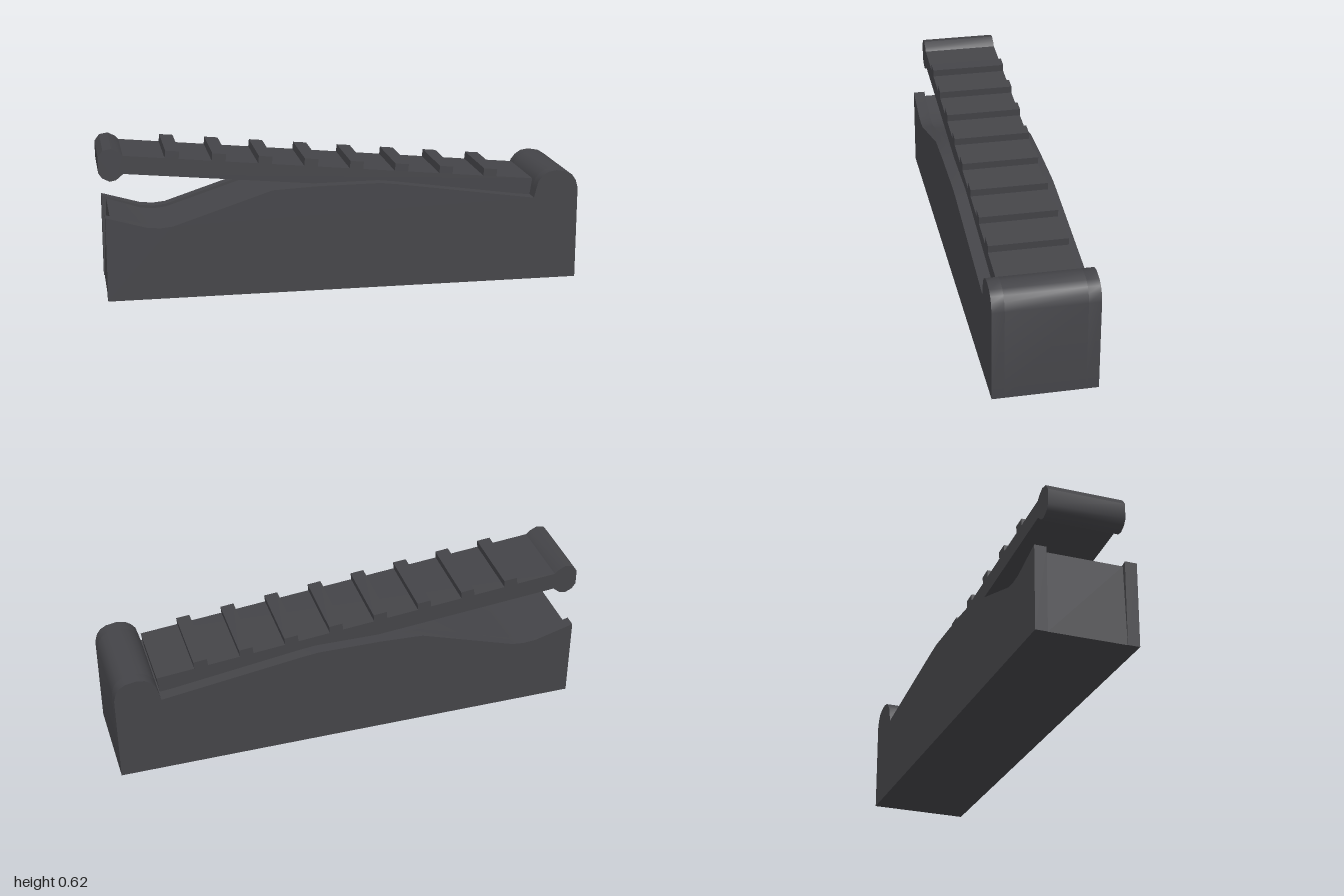
import * as THREE from 'three';
import { toCreasedNormals } from 'three/addons/utils/BufferGeometryUtils.js';

const HALF_BODY = 0.21;
const HALF_LEVER = 0.16;

// Side outline extruded between two z positions
function slab(name, points, z0, z1, material) {
  const shape = new THREE.Shape(points.map(([x, y]) => new THREE.Vector2(x, y)));
  const geo = new THREE.ExtrudeGeometry(shape, { depth: z1 - z0, bevelEnabled: false });
  geo.translate(0, 0, z0);
  const mesh = new THREE.Mesh(toCreasedNormals(geo, 0.6), material);
  mesh.name = name;
  return mesh;
}

export function createModel() {
  const group = new THREE.Group();
  group.name = 'leverOnBase';
  const charcoal = new THREE.MeshStandardMaterial({ color: 0x444448 });
  charcoal.name = 'charcoal';

  // Rounded stop at the high end, then the rest with its finger scoop
  const stop = [
    [1, 0], [1, 0.39], [0.99, 0.425], [0.975, 0.447], [0.95, 0.462], [0.905, 0.47],
    [0.87, 0.464], [0.845, 0.447], [0.828, 0.425], [0.818, 0.39], [0.81, 0.355],
  ];
  const rest = [
    [0.22, 0.44], [0.15, 0.448], [-0.12, 0.446], [-0.3, 0.437],
    [-0.71, 0.304], [-0.76, 0.299], [-0.815, 0.304], [-0.98, 0.352],
  ];
  const cheek = [...stop, ...rest, [-0.98, 0]];
  group.add(slab('frontCheek', cheek, HALF_LEVER, HALF_BODY, charcoal));
  group.add(slab('backCheek', cheek, -HALF_BODY, -HALF_LEVER, charcoal));

  // Shallow channel between the cheeks, with a slightly sloped end
  const floor = rest.map(([x, y]) => [Math.max(x, -0.96), y - 0.012]);
  group.add(slab('channelCore', [...stop, ...floor, [-0.978, 0]], -HALF_LEVER, HALF_LEVER, charcoal));

  // Tilted lever with a rounded lip
  const lever = [
    [0.805, 0.358], [0.815, 0.427], [-0.9, 0.595], [-0.915, 0.61], [-0.945, 0.625],
    [-0.98, 0.619], [-1, 0.592], [-1, 0.527], [-0.985, 0.505], [-0.955, 0.49],
    [-0.93, 0.495], [-0.9, 0.52],
  ];
  group.add(slab('lever', lever, -HALF_LEVER, HALF_LEVER, charcoal));

  // Grip ribs across the lever
  const slope = (0.427 - 0.595) / (0.815 + 0.9);
  const ribGeo = new THREE.BoxGeometry(0.057, 0.05, HALF_LEVER * 2);
  for (let i = 0; i < 8; i++) {
    const x = -0.703 + i * 0.1905;
    const rib = new THREE.Mesh(ribGeo, charcoal);
    rib.name = `gripRib${i + 1}`;
    rib.position.set(x, 0.595 + (x + 0.9) * slope + 0.006, 0);
    rib.rotation.z = Math.atan(slope);
    group.add(rib);
  }
  return group;
}
